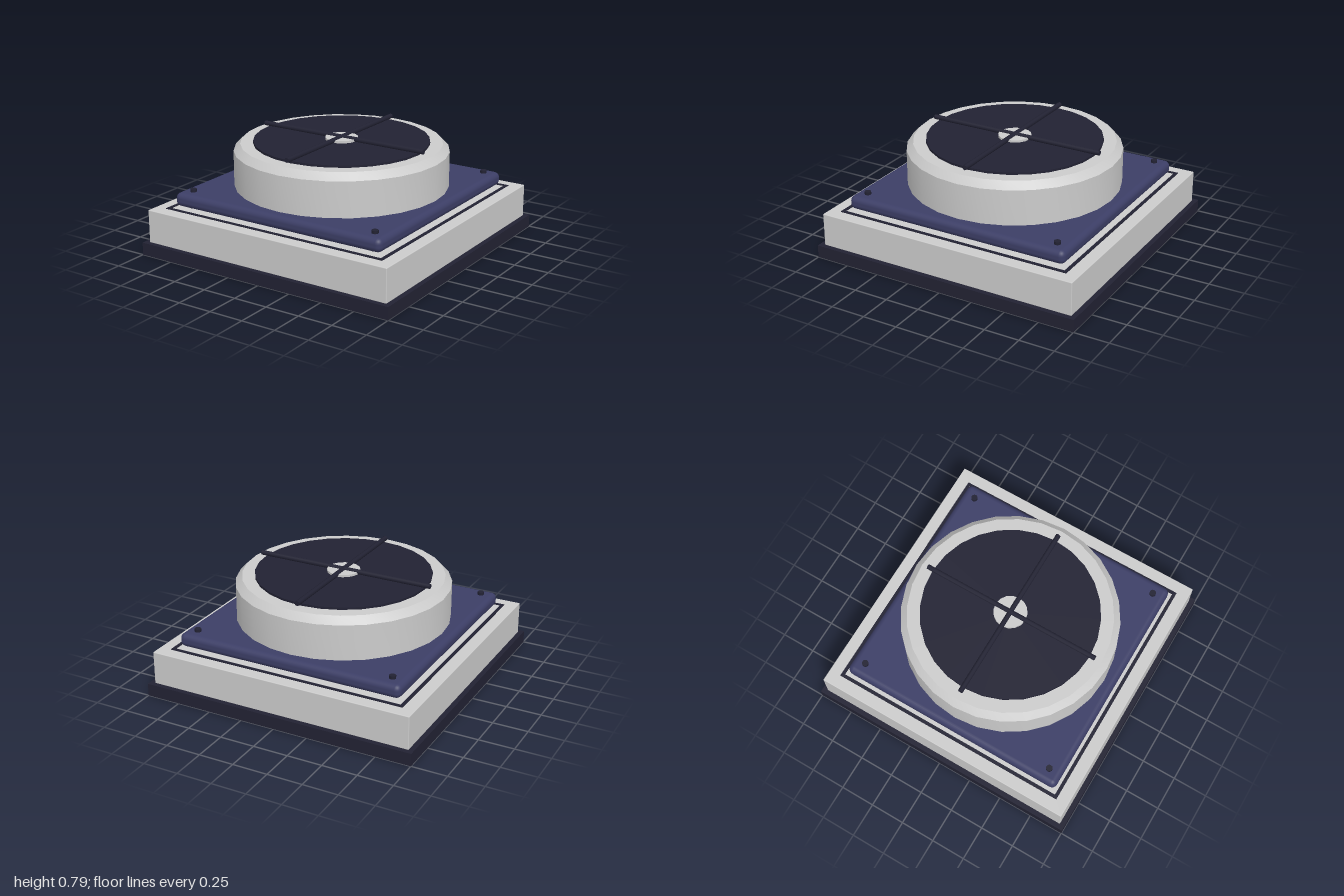
import * as THREE from 'three';
import { toCreasedNormals } from 'three/addons/utils/BufferGeometryUtils.js';
import { RoundedBoxGeometry } from 'three/addons/geometries/RoundedBoxGeometry.js';

const grey = new THREE.MeshStandardMaterial({ color: 0xcccccc });
const dark = new THREE.MeshStandardMaterial({ color: 0x222233 });
const blue = new THREE.MeshStandardMaterial({ color: 0x3c3e66 });

export function createModel() {
  const model = new THREE.Group();

  const add = (name, geometry, material, x = 0, y = 0, z = 0) => {
    const mesh = new THREE.Mesh(geometry, material);
    mesh.name = name;
    mesh.position.set(x, y, z);
    model.add(mesh);
    return mesh;
  };
  // Upright cylinder from height y0 to y1
  const disc = (name, radius, y0, y1, sides, material, x = 0, z = 0) =>
    add(name, new THREE.CylinderGeometry(radius, radius, y1 - y0, sides), material, x, (y0 + y1) / 2, z);

  // Plinth and housing
  add('plinth', new THREE.BoxGeometry(2, 0.09, 2), dark, 0, 0.045, 0);
  add('housing', new RoundedBoxGeometry(1.93, 0.24, 1.93, 2, 0.006), grey, 0, 0.207, 0);

  // Thin square seal set into the top of the housing
  const square = (Type, h) => new Type([[-h, -h], [h, -h], [h, h], [-h, h]].map(([x, y]) => new THREE.Vector2(x, y)));
  const sealShape = square(THREE.Shape, 0.877);
  sealShape.holes.push(square(THREE.Path, 0.853));
  const seal = new THREE.ExtrudeGeometry(sealShape, { depth: 0.012, bevelEnabled: false });
  add('seal', seal.rotateX(-Math.PI / 2), dark, 0, 0.32, 0);

  // Floating plate with rounded edges, on corner spacers and held by bolts
  add('mountingPlate', new RoundedBoxGeometry(1.67, 0.098, 1.67, 3, 0.04), blue, 0, 0.391, 0);
  for (const x of [-0.74, 0.74]) {
    for (const z of [-0.74, 0.74]) {
      disc('spacer', 0.035, 0.32, 0.355, 16, dark, x, z);
      disc('bolt', 0.023, 0.42, 0.461, 12, dark, x, z);
    }
  }

  // Round drum with a chamfered rim
  const drumProfile = [[0, 0.42], [0.757, 0.42], [0.757, 0.693], [0.71, 0.742], [0, 0.742]];
  const drum = new THREE.LatheGeometry(drumProfile.map(([r, y]) => new THREE.Vector2(r, y)), 28);
  add('drum', toCreasedNormals(drum, 0.5), grey);

  // Dark face, hub and crossed bars
  disc('drumFace', 0.62, 0.735, 0.758, 28, dark);
  disc('hub', 0.117, 0.75, 0.774, 16, grey);
  const barGeometry = new THREE.CylinderGeometry(0.018, 0.018, 1.32, 8);
  add('crossBar', barGeometry, dark, 0, 0.772, 0).rotation.z = Math.PI / 2;
  add('crossBar', barGeometry, dark, 0, 0.772, 0).rotation.x = Math.PI / 2;

  return model;
}
